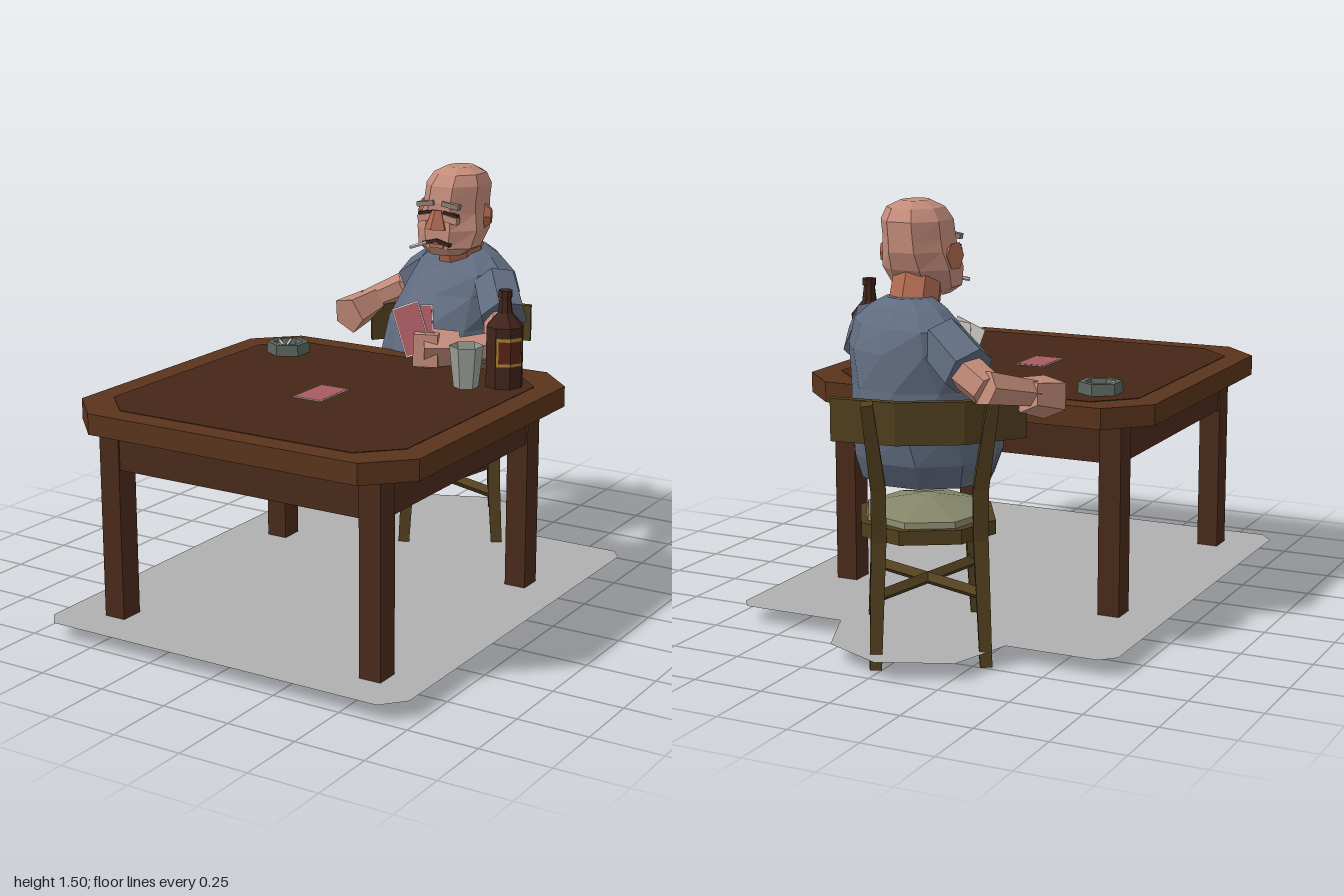
import * as THREE from 'three';

const V = (x, y, z) => new THREE.Vector3(x, y, z);
const mat = (color) => new THREE.MeshStandardMaterial({ color, flatShading: true, side: THREE.DoubleSide });
const M = {
  rim: mat(0x5a341c), top: mat(0x452616), wood: mat(0x4a2a1a), chair: mat(0x52401f),
  cushion: mat(0x85876a), shirt: mat(0x606c80), skin: mat(0xc48c7a), nose: mat(0xb06a50),
  dark: mat(0x3a2420), brow: mat(0x8c7c74), bottle: mat(0x40241a), gold: mat(0xa88430), label: mat(0x5c2418),
  glass: mat(0x9aa096), drink: mat(0x9a8434), ash: mat(0x5a665e), white: mat(0xd8d4cc), card: mat(0xa85a62),
  shadow: mat(0xb0b0b0),
};

function add(parent, name, geometry, material, x = 0, y = 0, z = 0) {
  const m = new THREE.Mesh(geometry, material);
  m.name = name;
  m.position.set(x, y, z);
  parent.add(m);
  return m;
}
const box = (p, name, material, w, h, d, x, y, z) => add(p, name, new THREE.BoxGeometry(w, h, d), material, x, y, z);

// Tapered prism between two points
function limb(parent, name, material, a, b, r1, r2 = r1, sides = 4) {
  const dir = b.clone().sub(a);
  const g = new THREE.CylinderGeometry(r2, r1, dir.length(), sides);
  if (sides === 4) g.rotateY(Math.PI / 4);
  const m = add(parent, name, g, material);
  m.position.copy(a).add(b).multiplyScalar(0.5);
  m.quaternion.setFromUnitVectors(V(0, 1, 0), dir.normalize());
  return m;
}

// Capped skin over rings of [y, cx, cz, rx, rz, turn]
function loft(rings, n = 8) {
  const pos = [], idx = [], k = 1 / Math.cos(Math.PI / n);
  for (const [y, cx, cz, rx, rz, turn = 0] of rings) {
    const c = Math.cos(turn), s = Math.sin(turn);
    for (let i = 0; i < n; i++) {
      const a = (i + 0.5) / n * Math.PI * 2, x = Math.sin(a) * rx * k, z = Math.cos(a) * rz * k;
      pos.push(cx + x * c + z * s, y, cz - x * s + z * c);
    }
  }
  const last = (rings.length - 1) * n;
  for (let r = 0; r < last; r += n) for (let i = 0; i < n; i++) {
    const j = (i + 1) % n;
    idx.push(r + i, r + j, r + n + j, r + i, r + n + j, r + n + i);
  }
  for (let i = 1; i < n - 1; i++) idx.push(0, i + 1, i, last, last + i, last + i + 1);
  const g = new THREE.BufferGeometry();
  g.setAttribute('position', new THREE.Float32BufferAttribute(pos, 3));
  g.setIndex(idx);
  g.computeVertexNormals();
  return g;
}

// Horizontal slab with cut corners, base at y = 0
function octagonSlab(w, d, cut, h) {
  const x = w / 2, z = d / 2;
  const pts = [[-x, z - cut], [-x, cut - z], [cut - x, -z], [x - cut, -z], [x, cut - z], [x, z - cut], [x - cut, z], [cut - x, z]];
  const shape = new THREE.Shape(pts.map(([a, b]) => new THREE.Vector2(a, b)));
  return new THREE.ExtrudeGeometry(shape, { depth: h, bevelEnabled: false }).rotateX(-Math.PI / 2);
}

function buildTable() {
  const g = new THREE.Group();
  g.name = 'table';
  g.position.set(0.005, 0, 0.3);
  add(g, 'tableTop', octagonSlab(1.335, 1.285, 0.14, 0.073), M.rim, 0, 0.735, 0);
  add(g, 'tableInlay', octagonSlab(1.165, 1.12, 0.125, 0.003), M.top, 0, 0.807, 0);
  for (const s of [-1, 1]) {
    for (const t of [-1, 1]) box(g, 'tableLeg', M.wood, 0.08, 0.705, 0.088, s * 0.517, 0.3825, 0.01 + t * 0.497);
    box(g, 'apronEnd', M.wood, 0.96, 0.142, 0.03, 0, 0.664, 0.01 + s * 0.52);
    box(g, 'apronSide', M.wood, 0.03, 0.142, 0.91, s * 0.535, 0.664, 0.01);
  }
  return g;
}

function buildChair() {
  const g = new THREE.Group();
  g.name = 'chair';
  g.position.set(-0.025, 0, -0.635);
  g.rotation.y = Math.PI / 6;
  add(g, 'seatFrame', octagonSlab(0.44, 0.48, 0.12, 0.048), M.chair, 0, 0.42, 0);
  add(g, 'cushion', loft([[0.465, 0, 0, 0.2, 0.22], [0.488, 0, 0, 0.195, 0.215], [0.528, 0, 0, 0.03, 0.04]]), M.cushion);
  for (const s of [-1, 1]) {
    limb(g, 'frontLeg', M.chair, V(s * 0.18, 0, 0.214), V(s * 0.165, 0.27, 0.195), 0.028, 0.033);
    limb(g, 'frontLegUpper', M.chair, V(s * 0.165, 0.27, 0.195), V(s * 0.163, 0.43, 0.185), 0.033);
    limb(g, 'backLeg', M.chair, V(s * 0.18, 0, -0.22), V(s * 0.165, 0.43, -0.19), 0.028, 0.035);
    limb(g, 'backPost', M.chair, V(s * 0.165, 0.42, -0.19), V(s * 0.165, 0.6, -0.21), 0.035);
    limb(g, 'backPostUpper', M.chair, V(s * 0.165, 0.6, -0.21), V(s * 0.2, 0.895, -0.275), 0.035, 0.028);
    limb(g, 'crossStretcher', M.chair, V(-s * 0.17, 0.24, 0.2), V(s * 0.17, 0.24, -0.2), 0.022);
  }
  // Curved back rail, drawn in plan and extruded upward
  const rail = [[-0.31, 0.15], [-0.1, 0.24], [0.1, 0.24], [0.31, 0.15], [0.315, 0.18], [0.11, 0.27], [-0.11, 0.27], [-0.315, 0.18]];
  const shape = new THREE.Shape(rail.map(([x, y]) => new THREE.Vector2(x, y)));
  add(g, 'backRail', new THREE.ExtrudeGeometry(shape, { depth: 0.14, bevelEnabled: false }).rotateX(-Math.PI / 2), M.chair, 0, 0.755, 0);
  return g;
}

function buildHead() {
  const g = new THREE.Group();
  g.name = 'head';
  limb(g, 'neck', M.nose, V(0.045, 1.1, -0.6), V(0.055, 1.26, -0.53), 0.09, 0.085, 8);
  add(g, 'skull', loft([
    [1.175, 0.055, -0.45, 0.065, 0.055], [1.205, 0.055, -0.47, 0.11, 0.095], [1.27, 0.055, -0.5, 0.125, 0.125],
    [1.33, 0.057, -0.515, 0.112, 0.133], [1.37, 0.06, -0.515, 0.108, 0.133], [1.43, 0.065, -0.52, 0.108, 0.128],
    [1.47, 0.07, -0.52, 0.088, 0.1], [1.493, 0.07, -0.52, 0.045, 0.055]]), M.skin);
  limb(g, 'nose', M.nose, V(0.055, 1.275, -0.37), V(0.055, 1.345, -0.378), 0.045, 0.02, 5);
  for (const s of [-1, 1]) {
    const x = 0.056 + s * 0.052;
    box(g, 'brow', M.brow, 0.07, 0.018, 0.025, x, 1.366, -0.385).rotation.z = -s * 0.15;
    box(g, 'closedEye', M.dark, 0.06, 0.01, 0.02, x, 1.334, -0.385).rotation.z = -s * 0.2;
    box(g, 'eyeBag', M.skin, 0.06, 0.025, 0.025, x, 1.315, -0.384).rotation.z = -s * 0.2;
    box(g, 'mouth', M.dark, 0.06, 0.012, 0.02, 0.055 + s * 0.027, 1.228, -0.374).rotation.z = -s * 0.25;
    const ear = add(g, 'ear', new THREE.CylinderGeometry(0.05, 0.03, 0.025, 6), M.nose, 0.058 + s * 0.128, 1.315, -0.525);
    ear.rotation.set(0, s * 0.35, Math.PI / 2);
    ear.scale.z = 0.75;
  }
  box(g, 'lowerLip', M.nose, 0.06, 0.014, 0.02, 0.055, 1.214, -0.378);
  limb(g, 'cigarette', M.white, V(0.02, 1.225, -0.375), V(-0.03, 1.208, -0.325), 0.007, 0.007, 6);
  return g;
}

function buildPlayer() {
  const g = new THREE.Group();
  g.name = 'player';
  g.add(buildHead());
  add(g, 'shirt', loft([
    [0.575, 0.01, -0.555, 0.215, 0.205], [0.66, 0.0, -0.565, 0.235, 0.245], [0.78, 0.0, -0.568, 0.235, 0.255, -0.1],
    [0.9, 0.01, -0.58, 0.23, 0.235, -0.25], [1.02, 0.035, -0.615, 0.235, 0.185, -0.42],
    [1.1, 0.045, -0.625, 0.235, 0.135, -0.5], [1.155, 0.045, -0.62, 0.15, 0.1, -0.45], [1.185, 0.048, -0.61, 0.08, 0.07, -0.4]], 10), M.shirt);
  // Right arm, swung back with the elbow out
  limb(g, 'rightSleeve', M.shirt, V(-0.12, 1.07, -0.71), V(-0.25, 0.985, -0.77), 0.085, 0.09, 6);
  limb(g, 'rightUpperArm', M.skin, V(-0.21, 1.0, -0.76), V(-0.325, 0.935, -0.79), 0.065, 0.06, 6);
  limb(g, 'rightForearm', M.skin, V(-0.32, 0.945, -0.81), V(-0.4, 0.9, -0.62), 0.06, 0.048, 6);
  limb(g, 'rightHand', M.skin, V(-0.39, 0.9, -0.65), V(-0.415, 0.87, -0.51), 0.06, 0.075, 5);
  // Left arm, resting on the table with the cards
  limb(g, 'leftSleeve', M.shirt, V(0.23, 1.07, -0.51), V(0.325, 0.97, -0.4), 0.085, 0.09, 6);
  limb(g, 'leftUpperArm', M.skin, V(0.29, 1.0, -0.43), V(0.345, 0.885, -0.34), 0.06, 0.058, 6);
  limb(g, 'leftForearm', M.skin, V(0.36, 0.885, -0.35), V(0.21, 0.875, -0.22), 0.06, 0.045, 6);
  limb(g, 'leftHand', M.skin, V(0.23, 0.88, -0.24), V(0.12, 0.88, -0.17), 0.06, 0.075, 4);
  box(g, 'leftFingers', M.skin, 0.09, 0.12, 0.04, 0.14, 0.88, -0.155).rotation.y = 0.35;
  return g;
}

function card(parent, x, y, z, rx, rz) {
  const g = new THREE.Group();
  g.name = 'playingCard';
  box(g, 'cardFace', M.white, 0.115, 0.185, 0.002, 0, 0, 0);
  box(g, 'cardBack', M.card, 0.105, 0.175, 0.002, 0, 0, 0.001);
  g.position.set(x, y, z);
  g.rotation.set(rx, 0, rz);
  parent.add(g);
}

function buildTableware() {
  const g = new THREE.Group();
  g.name = 'tableware';
  const P = (pts) => pts.map(([x, y]) => new THREE.Vector2(x, y));
  // Bottle with a label over two of its faces
  add(g, 'bottle', new THREE.LatheGeometry(P([[0, 0], [0.067, 0], [0.067, 0.215], [0.027, 0.26], [0.02, 0.315], [0.025, 0.315], [0.025, 0.34], [0, 0.34]]), 8), M.bottle, 0.487, 0.81, -0.1);
  const wrap = (r, h, inset) => new THREE.CylinderGeometry(r, r, h, 2, 1, true, inset, Math.PI / 2 - inset * 2);
  add(g, 'labelBorder', wrap(0.069, 0.1, 0.06), M.gold, 0.487, 0.94, -0.1);
  add(g, 'label', wrap(0.071, 0.078, 0.18), M.label, 0.487, 0.94, -0.1);
  // Glass with a drink
  add(g, 'glass', new THREE.CylinderGeometry(0.06, 0.044, 0.148, 6, 1, true), M.glass, 0.385, 0.885, -0.01);
  add(g, 'drink', new THREE.CylinderGeometry(0.046, 0.041, 0.05, 6), M.drink, 0.385, 0.837, -0.01);
  // Ashtray with stubs
  add(g, 'ashtray', new THREE.LatheGeometry(P([[0, 0], [0.08, 0], [0.077, 0.04], [0.055, 0.04], [0.045, 0.012], [0, 0.012]]), 6), M.ash, -0.42, 0.81, -0.1);
  for (let i = 0; i < 3; i++) {
    const a = 2.5 + i * 0.9;
    limb(g, 'stub', M.white, V(-0.43 + Math.cos(a) * 0.01, 0.83, -0.1 + Math.sin(a) * 0.01), V(-0.42 + Math.cos(a) * 0.05, 0.845, -0.1 + Math.sin(a) * 0.05), 0.006, 0.006, 5);
  }
  // Cards
  card(g, 0.005, 0.812, 0.33, -Math.PI / 2, 0);
  card(g, 0.075, 0.945, -0.165, -0.1, 0.4);
  card(g, 0.105, 0.945, -0.172, -0.1, 0.12);
  return g;
}

export function createModel() {
  const model = new THREE.Group();
  model.name = 'cardPlayerScene';
  // Flat ground patch
  const patch = [[-0.71, -0.62], [-0.66, -0.67], [-0.33, -0.67], [-0.26, -0.9], [-0.02, -1], [0.2, -0.9], [0.295, -0.67],
    [0.67, -0.67], [0.71, -0.62], [0.71, 0.92], [0.64, 1], [-0.66, 1], [-0.71, 0.94]];
  const shape = new THREE.Shape(patch.map(([x, z]) => new THREE.Vector2(x, -z)));
  add(model, 'groundPatch', new THREE.ShapeGeometry(shape).rotateX(-Math.PI / 2), M.shadow, 0, 0.055, 0);
  model.add(buildTable(), buildChair(), buildPlayer(), buildTableware());
  return model;
}
